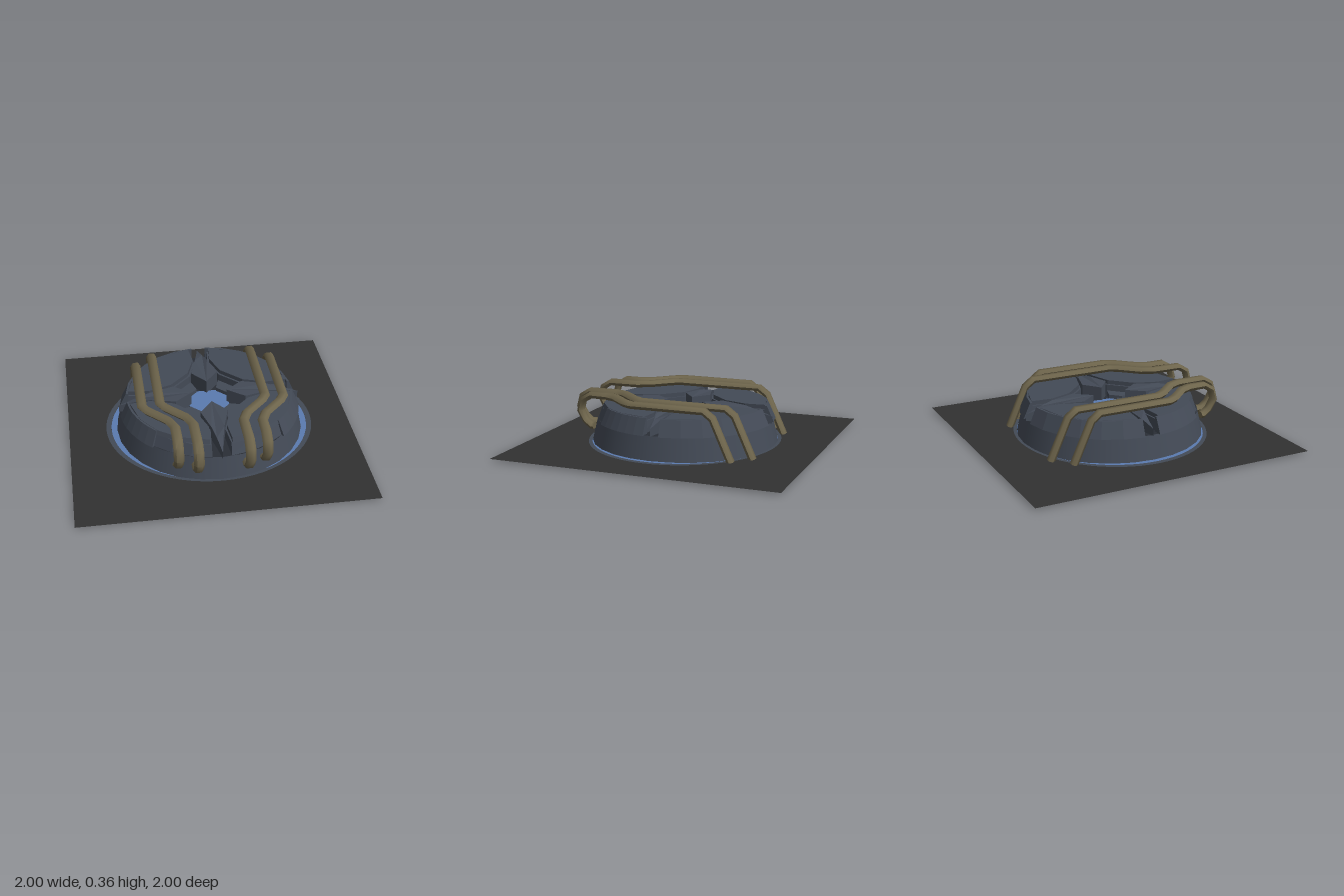
import * as THREE from 'three';
import { toCreasedNormals } from 'three/addons/utils/BufferGeometryUtils.js';

const mat = (name, color, extra = {}) => {
  const m = new THREE.MeshStandardMaterial({ color, ...extra });
  m.name = name;
  return m;
};

// Prism between a bottom and a top outline of [x, z] points; top heights may vary per point.
function prism(bottom, top, y0, y1) {
  let b = bottom.map((p) => new THREE.Vector2(...p));
  let t = top.map((p) => new THREE.Vector2(...p));
  let h = top.map((p, i) => (Array.isArray(y1) ? y1[i] : y1));
  if (THREE.ShapeUtils.area(t) > 0) [b, t, h] = [b, t, h].map((a) => a.reverse());
  const n = t.length, pos = [];
  const B = (i) => [b[i].x, y0, b[i].y], T = (i) => [t[i].x, h[i], t[i].y];
  for (let i = 0; i < n; i++) {
    const j = (i + 1) % n;
    pos.push(...B(i), ...B(j), ...T(j), ...B(i), ...T(j), ...T(i));
  }
  for (const [i, j, k] of THREE.ShapeUtils.triangulateShape(t, [])) {
    const ccw = THREE.ShapeUtils.area([t[i], t[j], t[k]]) < 0;
    pos.push(...T(i), ...T(ccw ? j : k), ...T(ccw ? k : j));
  }
  const g = new THREE.BufferGeometry();
  g.setAttribute('position', new THREE.Float32BufferAttribute(pos, 3));
  g.computeVertexNormals();
  return g;
}

// Points on an arc, angles in degrees from +x towards +z.
function arc(r, from, to, steps = 6) {
  return Array.from({ length: steps + 1 }, (_, i) => {
    const a = THREE.MathUtils.degToRad(from + ((to - from) * i) / steps);
    return [r * Math.cos(a), r * Math.sin(a)];
  });
}

// Flattened hexagonal pipe swept along a path, with closed ends.
function pipe(points) {
  const path = points.map((p) => new THREE.Vector3(...p));
  const n = path.length, pos = [], idx = [], sides = 6;
  const side = new THREE.Vector3(1, 0, 0);
  path.forEach((p, i) => {
    const d1 = path[Math.max(i, 1)].clone().sub(path[Math.max(i, 1) - 1]).normalize();
    const k = Math.min(i + 1, n - 1);
    const d2 = path[k].clone().sub(path[k - 1]).normalize();
    const t = d1.add(d2).normalize();
    side.addScaledVector(t, -side.dot(t)).normalize();
    const up = new THREE.Vector3().crossVectors(t, side);
    for (let s = 0; s < sides; s++) {
      const a = (s / sides) * Math.PI * 2;
      const q = p.clone().addScaledVector(side, 0.035 * Math.cos(a)).addScaledVector(up, 0.026 * Math.sin(a));
      pos.push(q.x, q.y, q.z);
      if (i < n - 1) {
        const A = i * sides + s, B = i * sides + ((s + 1) % sides);
        idx.push(A, B, B + sides, A, B + sides, A + sides);
      }
    }
  });
  const end = (n - 1) * sides;
  for (let s = 1; s < sides - 1; s++) idx.push(0, s + 1, s, end, end + s, end + s + 1);
  const g = new THREE.BufferGeometry();
  g.setAttribute('position', new THREE.Float32BufferAttribute(pos, 3));
  g.setIndex(idx);
  return toCreasedNormals(g, 1.1);
}

export function createModel() {
  const model = new THREE.Group();
  const slate = mat('slate metal', 0x434a56);
  const groove = mat('groove dark', 0x2a2e36);
  const floorMat = mat('floor charcoal', 0x323232, { side: THREE.DoubleSide });
  const blue = mat('blue glow', 0x5b7bb0, { side: THREE.DoubleSide });
  const bronze = mat('pipe bronze', 0x6d644b);
  const add = (name, geo, material, parent = model) => {
    const m = new THREE.Mesh(geo, material);
    m.name = name;
    parent.add(m);
    return m;
  };
  const flat = (shape, y) => new THREE.ShapeGeometry(shape, 32).rotateX(-Math.PI / 2).translate(0, y, 0);
  const ellipse = (a, b) => new THREE.Shape().absellipse(0, 0, a, b, 0, Math.PI * 2);

  // Square floor sheet with an oval opening, trim ring and blue disc
  const sheet = new THREE.Shape([[-1, -1], [1, -1], [1, 1], [-1, 1]].map((p) => new THREE.Vector2(...p)));
  sheet.holes.push(ellipse(0.7, 0.655));
  add('floorSheet', flat(sheet, 0.01), floorMat);
  const trim = ellipse(0.737, 0.677);
  trim.holes.push(ellipse(0.7, 0.655));
  add('floorTrim', flat(trim, 0.014), slate);
  add('floorDisc', flat(ellipse(0.7, 0.655), 0.009), blue);

  // Sloped hull and its sunken deck
  const hull = new THREE.LatheGeometry([[0.66, 0.01], [0.622, 0.17]].map((p) => new THREE.Vector2(...p)), 28);
  add('hull', hull, slate);
  add('deck', new THREE.CircleGeometry(0.622, 28).rotateX(-Math.PI / 2).translate(0, 0.17, 0), groove);

  // Blue core plate in the centre pit
  const core = [[0.07, 0.15], [0.14, 0.08], [0.14, -0.08], [0.07, -0.15],
    [-0.07, -0.15], [-0.14, -0.08], [-0.14, 0.08], [-0.07, 0.15]];
  add('core', prism(core, core, 0.175, 0.183), blue);

  // Four quadrants, each with a stepped panel, pit bar and spear arm
  const inner = [[0.05, 0.42], [0.105, 0.25], [0.25, 0.105], [0.42, 0.05]];
  const lowBottom = [...arc(0.617, 6, 84), ...inner];
  const lowTop = [...arc(0.588, 6.5, 83.5), ...inner];
  const raised = [[0.565, 0.075], [0.51, 0.27], [0.41, 0.41], [0.27, 0.51], [0.075, 0.565],
    [0.062, 0.42], [0.117, 0.258], [0.258, 0.117], [0.42, 0.062]];
  const raisedFoot = raised.map(([x, z], i) => (i < 5 ? [x * 1.02, z * 1.02] : [x, z]));
  const bar = [[0.1, 0.235], [0.235, 0.1], [0.14, 0.07], [0.07, 0.14]];
  const arm = [[0, 0.64], [0.022, 0.52], [0.045, 0.42], [0.095, 0.245], [0, 0.125],
    [-0.095, 0.245], [-0.045, 0.42], [-0.022, 0.52]];
  const armHeights = [0.22, 0.255, 0.275, 0.28, 0.28, 0.28, 0.275, 0.255];
  for (let q = 0; q < 4; q++) {
    const quadrant = new THREE.Group();
    quadrant.name = 'quadrant' + (q + 1);
    quadrant.rotation.y = (q * Math.PI) / 2;
    model.add(quadrant);
    add('panelBase', prism(lowBottom, lowTop, 0.17, 0.25), slate, quadrant);
    add('panelTop', prism(raisedFoot, raised, 0.25, 0.28), slate, quadrant);
    add('pitBar', prism(bar, bar, 0.17, 0.21), slate, quadrant);
    add('spearArm', prism(arm, arm, 0.17, armHeights), slate, quadrant);
  }

  // Raised shoulder rim along the sides and back
  for (const [from, to] of [[5, 45], [135, 175], [185, 265], [275, 355]]) {
    const back = arc(0.572, to, from);
    add('shoulderRim', prism([...arc(0.637, from, to), ...back], [...arc(0.587, from, to), ...back], 0.168, 0.278), slate);
  }

  // Pipes: rear leg, straight run, inward jog, then a curl over the front edge
  const y = 0.334;
  const runs = [
    { name: 'innerPipe', x0: 0.365, x1: 0.17, back: -0.62, bend: 0.18, front: 0.66 },
    { name: 'outerPipe', x0: 0.49, x1: 0.295, back: -0.51, bend: 0.2, front: 0.595 },
  ];
  for (const s of [1, -1]) {
    for (const { name, x0, x1, back, bend, front } of runs) {
      const points = [
        [x0, 0.005, back], [x0, 0.29, back + 0.13], [x0, y, back + 0.19],
        [x0, y, bend], [x0 - 0.035, y, bend + 0.06], [x1 + 0.035, y, bend + 0.19], [x1, y, bend + 0.27],
        [x1, y, front], [x1, 0.295, front + 0.065], [x1, 0.22, front + 0.085],
        [x1, 0.15, front + 0.045], [x1, 0.115, front], [x1, 0.115, 0.575],
      ];
      add((s > 0 ? 'left' : 'right') + name[0].toUpperCase() + name.slice(1),
        pipe(points.map(([px, py, pz]) => [px * s, py, pz])), bronze);
    }
  }
  return model;
}
